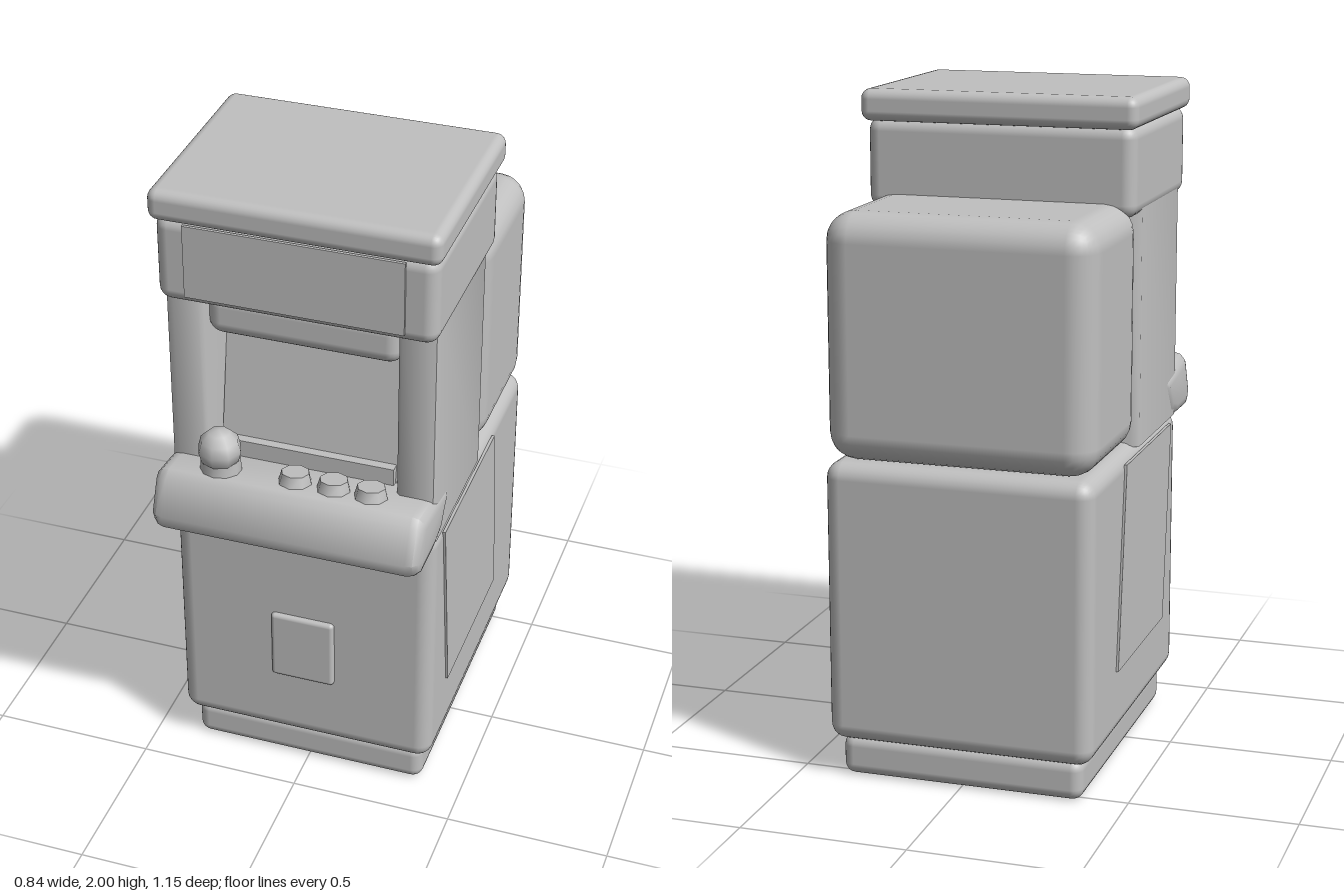
import * as THREE from 'three';
import { RoundedBoxGeometry } from 'three/addons/geometries/RoundedBoxGeometry.js';
import { toCreasedNormals } from 'three/addons/utils/BufferGeometryUtils.js';

export function createModel() {
  const model = new THREE.Group();
  model.name = 'arcadeCabinet';
  const grey = new THREE.MeshStandardMaterial({ color: 0xc0c0c0 });
  grey.name = 'plainGrey';

  const add = (name, geometry, x = 0, y = 0, z = 0) => {
    const mesh = new THREE.Mesh(geometry, grey);
    mesh.name = name;
    mesh.position.set(x, y, z);
    model.add(mesh);
    return mesh;
  };

  // Rounded block given by its half width and its y and z limits
  const block = (name, halfX, y0, y1, z0, z1, radius) =>
    add(name, new RoundedBoxGeometry(halfX * 2, y1 - y0, z1 - z0, 3, radius),
      0, (y0 + y1) / 2, (z0 + z1) / 2);

  // Side profile of [z, y] points, extruded across x and centred
  const sideProfile = (points, width, bevel = 0) => {
    const shape = new THREE.Shape(points.map(([z, y]) => new THREE.Vector2(z, y)));
    const geometry = new THREE.ExtrudeGeometry(shape, {
      depth: width - 2 * bevel, bevelEnabled: bevel > 0, bevelSize: bevel,
      bevelThickness: bevel, bevelOffset: -bevel, bevelSegments: 3,
    });
    geometry.translate(0, 0, bevel - width / 2);
    geometry.rotateY(-Math.PI / 2);
    return toCreasedNormals(geometry, 0.8);
  };

  // Stacked main volumes
  block('plinth', 0.37, 0, 0.125, -0.545, 0.365, 0.035);
  block('lowerBody', 0.405, 0.115, 0.965, -0.575, 0.4, 0.05);
  block('rearHousing', 0.405, 0.965, 1.69, -0.575, -0.08, 0.085);
  block('marqueeBox', 0.41, 1.645, 1.915, -0.17, 0.44, 0.04);
  block('roof', 0.422, 1.905, 2, -0.197, 0.46, 0.03);
  block('speakerBar', 0.29, 1.52, 1.66, 0.2, 0.38, 0.045);

  // Upper cabinet: U-shaped plan with cheeks flanking the screen recess
  const half = [
    [0.38, -0.085], [0.405, -0.06], [0.405, 0.37], [0.397, 0.392],
    [0.375, 0.4], [0.3, 0.4], [0.288, 0.388], [0.26, 0.2],
  ];
  const outline = [...half, ...half.map(([x, z]) => [-x, z]).reverse()];
  const plan = new THREE.Shape(outline.map(([x, z]) => new THREE.Vector2(x, -z)));
  const upper = new THREE.ExtrudeGeometry(plan, { depth: 0.72, bevelEnabled: false });
  upper.rotateX(-Math.PI / 2);
  add('upperCabinet', toCreasedNormals(upper, 0.8), 0, 0.95, 0);

  // Leaning screen and the lip below it
  add('screen', sideProfile([[0.15, 1.02], [0.345, 1.02], [0.235, 1.66], [0.15, 1.66]], 0.54));
  add('screenLip', new THREE.BoxGeometry(0.53, 0.07, 0.03), 0, 1.12, 0.335);

  // Control deck
  add('controlDeck', sideProfile([
    [0.575, 0.995], [0.56, 0.95], [0.53, 0.932], [0.4, 0.934], [0.32, 0.955],
    [0.255, 1.05], [0.26, 1.08], [0.28, 1.09], [0.4, 1.108], [0.505, 1.12], [0.53, 1.1],
  ], 0.82, 0.04));

  // Joystick and buttons
  add('joystickBase', toCreasedNormals(new THREE.CylinderGeometry(0.058, 0.062, 0.06, 10), 0.8), -0.23, 1.125, 0.445);
  add('joystickBall', new THREE.SphereGeometry(0.066, 8, 6), -0.23, 1.187, 0.45);
  for (const x of [-0.005, 0.112, 0.225]) {
    const button = add('button', toCreasedNormals(new THREE.CylinderGeometry(0.042, 0.052, 0.04, 8), 0.8), x, 1.125, 0.435);
    button.rotation.x = -0.12;
  }

  // Sign plate, coin door and slanted side panels
  add('signPlate', new THREE.BoxGeometry(0.64, 0.225, 0.009), 0, 1.79, 0.4455);
  block('coinDoor', 0.1, 0.35, 0.585, 0.385, 0.415, 0.013);
  const sidePanel = sideProfile([[0.305, 0.935], [-0.225, 0.935], [-0.3, 0.322], [0.23, 0.322]], 0.009);
  for (const [name, side] of [['leftSidePanel', 1], ['rightSidePanel', -1]]) {
    add(name, sidePanel, side * 0.4075);
  }
  return model;
}
